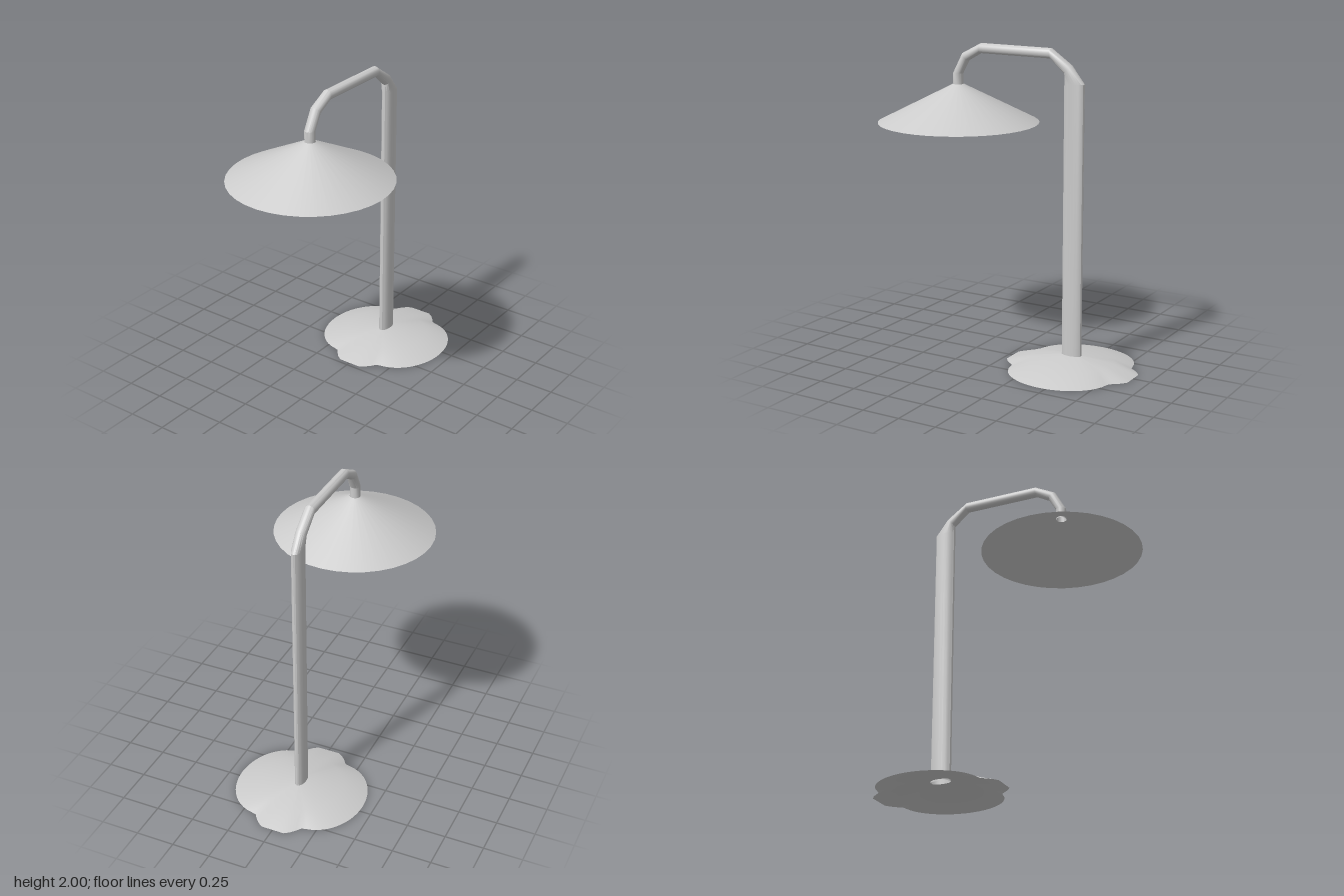
import * as THREE from 'three';
import { toCreasedNormals } from 'three/addons/utils/BufferGeometryUtils.js';

const material = new THREE.MeshStandardMaterial({ color: 0xcccccc, side: THREE.DoubleSide });

// Skin a surface over a list of closed rings with equal point counts
function loft(rings, crease) {
  const n = rings[0].length;
  const index = [];
  for (let r = 0; r < rings.length - 1; r++) {
    for (let i = 0; i < n; i++) {
      const j = (i + 1) % n;
      const a = r * n + i, b = r * n + j, c = a + n, d = b + n;
      index.push(a, c, b, b, c, d);
    }
  }
  const geometry = new THREE.BufferGeometry().setFromPoints(rings.flat());
  geometry.setIndex(index);
  return toCreasedNormals(geometry, crease);
}

function ring(count, pointAt) {
  return Array.from({ length: count }, (_, i) => pointAt((i / count) * Math.PI * 2));
}

function addPart(group, name, geometry) {
  const mesh = new THREE.Mesh(geometry, material);
  mesh.name = name;
  group.add(mesh);
  return mesh;
}

export function createModel() {
  const group = new THREE.Group();
  group.name = 'deskLamp';
  const postZ = -0.455;

  // Post and bent arm: [outer z, outer y, inner z, inner y] along the path
  const stations = [
    [-0.522, 0.07, -0.387, 0.07],
    [-0.522, 1.795, -0.387, 1.795],
    [-0.434, 1.905, -0.39, 1.85],
    [-0.295, 2.0, -0.295, 1.936],
    [0.2, 2.0, 0.2, 1.936],
    [0.334, 1.93, 0.29, 1.885],
    [0.403, 1.8, 0.338, 1.8],
    [0.403, 1.725, 0.338, 1.725],
  ];
  const tubeRings = stations.map(([oz, oy, iz, iy]) => ring(20, (t) => new THREE.Vector3(
    0.034 * Math.sin(t),
    (oy + iy) / 2 + ((oy - iy) / 2) * Math.cos(t),
    (oz + iz) / 2 + ((oz - iz) / 2) * Math.cos(t),
  )));
  // Rings run clockwise seen along the path, so reverse them to face outward
  tubeRings.forEach((r) => r.reverse());
  addPart(group, 'postAndArm', loft(tubeRings, 0.45));

  // Open conical shade
  const shade = addPart(group, 'shade', new THREE.LatheGeometry(
    [new THREE.Vector2(0.512, 1.49), new THREE.Vector2(0.034, 1.732)], 36));
  shade.position.z = 0.37;

  // Domed base shell: round rim, pinched beside a lobe at the front and back
  const rim = (t) => {
    const a = Math.atan2(Math.abs(Math.sin(t)), Math.abs(Math.cos(t))) * 180 / Math.PI;
    if (a < 64) return 0.426 - 0.053 * (a / 64) ** 4;
    if (a < 79) return 0.373 + 0.062 * ((a - 64) / 15);
    return 0.427 / Math.sin(a * Math.PI / 180);
  };
  const baseRing = (y, rx, rz) => ring(72, (t) => new THREE.Vector3(
    rx(t) * Math.cos(t), y, postZ + rz(t) * Math.sin(t)));
  const rounded = () => 0.267;
  addPart(group, 'base', loft([
    baseRing(0, rim, rim),
    baseRing(0.052, rounded, rounded),
    baseRing(0.08, () => 0.034, () => 0.067),
  ], 0.5));

  return group;
}
